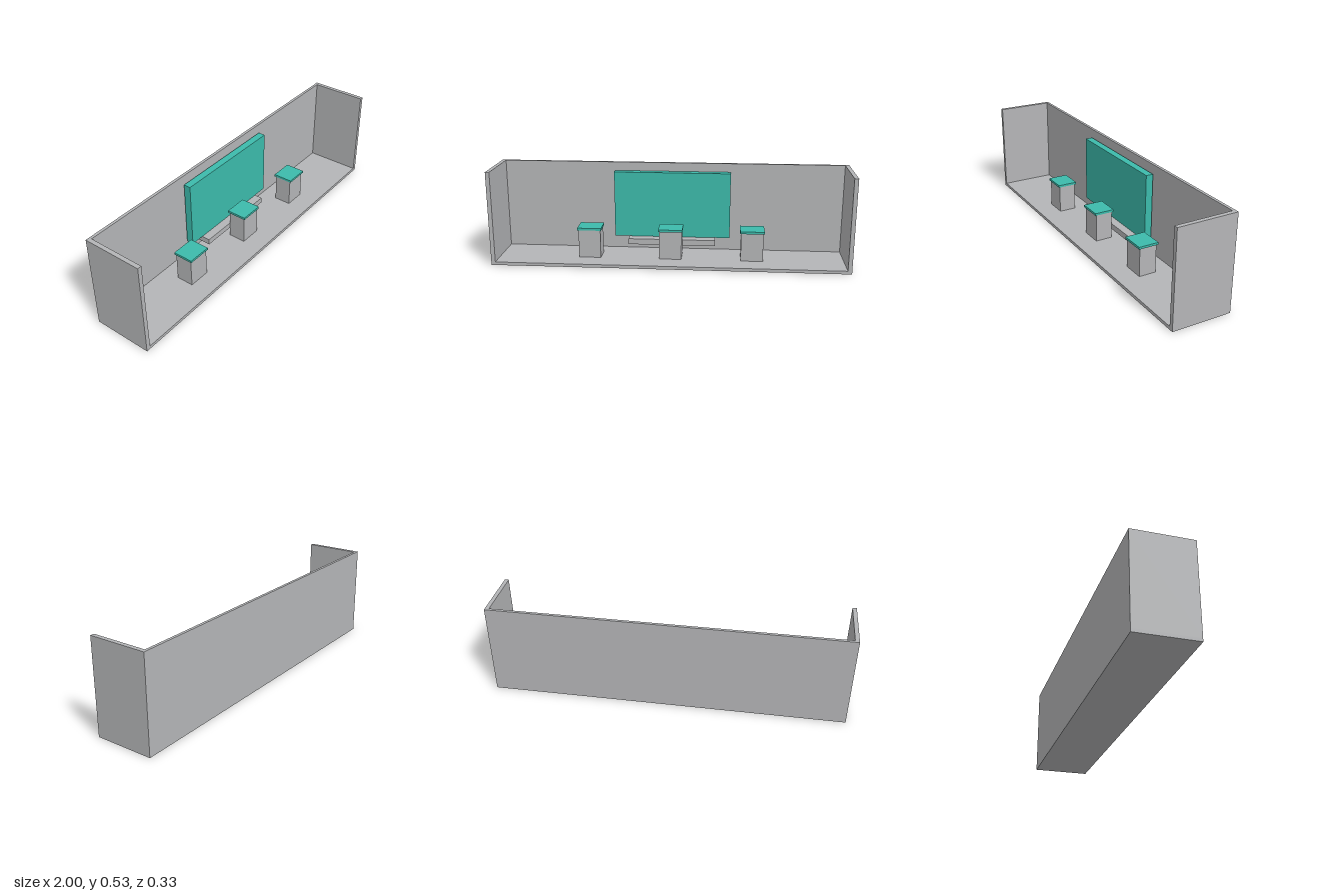
import * as THREE from 'three';

export function createModel() {
  const grey = new THREE.MeshStandardMaterial({ color: 0xb4b5b7 });
  grey.name = 'grey';
  const teal = new THREE.MeshStandardMaterial({ color: 0x3cbaab });
  teal.name = 'teal';

  const group = new THREE.Group();
  group.name = 'exhibitionStand';

  // Box given by its min and max corners
  function box(parent, name, material, [x0, y0, z0], [x1, y1, z1]) {
    const mesh = new THREE.Mesh(new THREE.BoxGeometry(x1 - x0, y1 - y0, z1 - z0), material);
    mesh.position.set((x0 + x1) / 2, (y0 + y1) / 2, (z0 + z1) / 2);
    mesh.name = name;
    parent.add(mesh);
  }

  const halfDepth = 0.167, height = 0.534, floorTop = 0.018, inner = 0.977, wallFront = -0.151;

  // Floor slab
  box(group, 'floor', grey, [-1, 0, -halfDepth], [1, floorTop, halfDepth]);

  // U-shaped wall: plan outline raised upwards (shape y becomes -z)
  const plan = new THREE.Shape([
    [-1, -halfDepth], [-inner, -halfDepth], [-inner, -wallFront], [inner, -wallFront],
    [inner, -halfDepth], [1, -halfDepth], [1, halfDepth], [-1, halfDepth],
  ].map(([x, y]) => new THREE.Vector2(x, y)));
  const wallGeometry = new THREE.ExtrudeGeometry(plan, { depth: height - floorTop, bevelEnabled: false });
  wallGeometry.rotateX(-Math.PI / 2).translate(0, floorTop, 0);
  const walls = new THREE.Mesh(wallGeometry, grey);
  walls.name = 'walls';
  group.add(walls);

  // Display panel and the shelf below it
  box(group, 'screen', teal, [-0.334, 0.104, -0.142], [0.334, 0.486, -0.101]);
  box(group, 'shelf', grey, [-0.25, 0.068, wallFront], [0.25, 0.101, -0.055]);

  // Three pedestals with overhanging tops
  for (const x of [-0.46, 0, 0.46]) {
    const pedestal = new THREE.Group();
    pedestal.name = 'pedestal';
    pedestal.position.set(x, 0, -0.002);
    box(pedestal, 'pedestalBody', grey, [-0.0625, floorTop, -0.05], [0.0625, 0.18, 0.05]);
    box(pedestal, 'pedestalTop', teal, [-0.068, 0.18, -0.058], [0.068, 0.193, 0.058]);
    group.add(pedestal);
  }
  return group;
}
